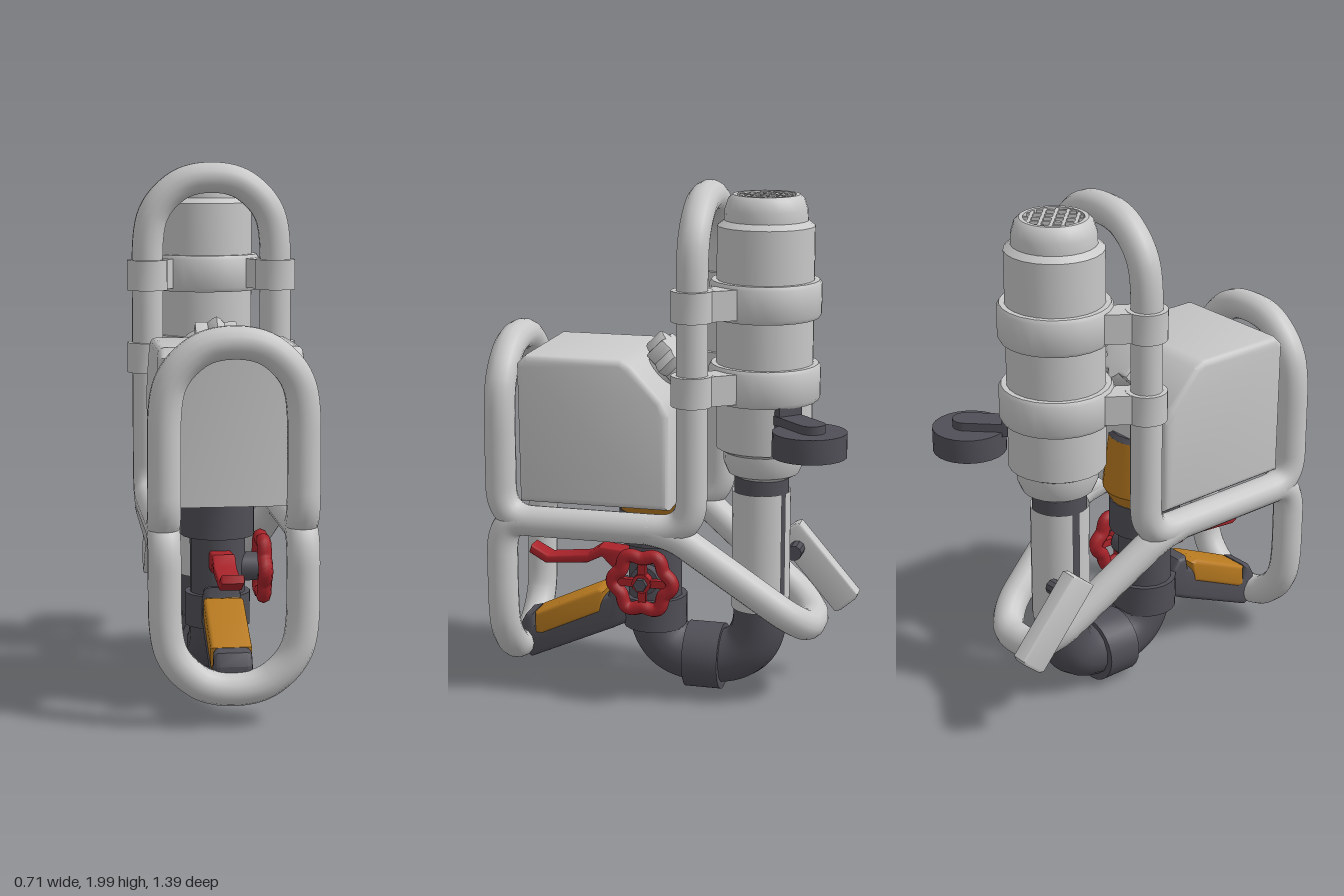
import * as THREE from 'three';
import { toCreasedNormals } from 'three/addons/utils/BufferGeometryUtils.js';

const V = (x, y, z) => new THREE.Vector3(x, y, z);

export function createModel() {
  const mat = (name, color) => {
    const m = new THREE.MeshStandardMaterial({ color, side: THREE.DoubleSide });
    m.name = name;
    return m;
  };
  const light = mat('light grey paint', 0xc8c8c8);
  const dark = mat('dark grey metal', 0x504f57);
  const orange = mat('orange paint', 0xb87a20);
  const red = mat('red paint', 0xa8232a);

  const root = new THREE.Group();
  const body = new THREE.Group();
  body.name = 'body';
  body.position.x = -0.03;
  root.add(body);

  const add = (name, geo, material, x = 0, y = 0, z = 0, parent = body) => {
    const m = new THREE.Mesh(geo, material);
    m.name = name;
    m.position.set(x, y, z);
    parent.add(m);
    return m;
  };
  const crease = (g) => toCreasedNormals(g, 0.6);
  // Profile points are [radius, y], from bottom to top
  const lathe = (pts, n = 24) => crease(new THREE.LatheGeometry(pts.map((p) => new THREE.Vector2(...p)), n));
  const cyl = (r1, r2, h, n = 20) => crease(new THREE.CylinderGeometry(r1, r2, h, n));

  // Tube along straight runs with rounded corners
  const pipe = (pts, r, round, closed = false, n = 160) => {
    const path = new THREE.CurvePath();
    const count = pts.length;
    let first = null, last = closed ? null : pts[0];
    for (let i = closed ? 0 : 1; i < (closed ? count : count - 1); i++) {
      const a = pts[(i + count - 1) % count], p = pts[i], b = pts[(i + 1) % count];
      const da = Math.min(round, a.distanceTo(p) * 0.48), db = Math.min(round, b.distanceTo(p) * 0.48);
      const s = p.clone().lerp(a, da / a.distanceTo(p)), e = p.clone().lerp(b, db / b.distanceTo(p));
      if (last) path.add(new THREE.LineCurve3(last, s));
      path.add(new THREE.QuadraticBezierCurve3(s, p, e));
      first = first || s;
      last = e;
    }
    path.add(new THREE.LineCurve3(last, closed ? first : pts[count - 1]));
    return new THREE.TubeGeometry(path, n, r, 14, closed);
  };

  // Side outline of [z, y] points, given a width along x
  const slab = (pts, width, bevel) => {
    const shape = new THREE.Shape(pts.map(([z, y]) => new THREE.Vector2(-z, y)));
    const g = new THREE.ExtrudeGeometry(shape, {
      depth: width - 2 * bevel, bevelEnabled: bevel > 0, bevelSize: bevel,
      bevelThickness: bevel, bevelOffset: -bevel, bevelSegments: 3,
    });
    g.translate(0, 0, -width / 2 + bevel);
    g.rotateY(Math.PI / 2);
    return crease(g);
  };

  // Tubular frame
  const H = 0.247, R = 0.06, zF = 0.636, zB = -0.113, yR = 0.71;
  const mirror = (pts) => pts.concat(pts.slice().reverse().map((p) => V(-p.x, p.y, p.z)));
  const arch = (y, z, s = -1) => [V(H, y + s * 0.19, z), V(0.2, y + s * 0.085, z), V(0.09, y, z)];
  const half = [...arch(1.94, zB).reverse(), V(H, yR, zB), V(H, yR, zF), ...arch(1.38, zF)];
  const other = half.slice().reverse().map((p) => V(-p.x, p.y, p.z));
  add('mainFrame', pipe([...half, ...other], R, 0.13, true, 300), light);
  add('frontFoot', pipe(mirror([V(H, yR, 0.45), V(H, yR, zF), ...arch(0.14, zF, 1)]), R, 0.13), light);
  add('rearBrace', pipe(mirror([V(H, yR, 0.06), V(H, 0.69, -0.05), V(0.15, 0.375, -0.46), V(0.08, 0.315, -0.53)]), R, 0.06), light);

  // Tank with sloped rear corner
  add('tank', slab([[0.56, 0.785], [0.565, 1.32], [0.53, 1.355], [0.16, 1.355], [0.12, 1.335],
    [0.0, 1.205], [-0.025, 1.15], [-0.025, 0.785]], 0.52, 0.025), light);

  // Scalloped filler cap
  const cap = new THREE.Group();
  cap.name = 'fillerCap';
  cap.position.set(0, 1.27, 0.065);
  cap.rotation.x = -Math.PI / 4;
  body.add(cap);
  const scallop = new THREE.Shape();
  for (let i = 0; i < 32; i++) {
    const a = (i / 32) * Math.PI * 2, r = 0.098 + 0.014 * Math.cos(8 * a);
    scallop[i ? 'lineTo' : 'moveTo'](r * Math.cos(a), r * Math.sin(a));
  }
  const capGeo = new THREE.ExtrudeGeometry(scallop, { depth: 0.07, bevelSize: 0.012, bevelThickness: 0.012, bevelOffset: -0.012, bevelSegments: 2 });
  capGeo.rotateX(-Math.PI / 2);
  add('capGrip', crease(capGeo), light, 0, 0.03, 0, cap);
  add('capNeck', cyl(0.075, 0.075, 0.08), light, 0, 0, 0, cap);

  // Rear canister
  const cz = -0.335;
  add('canister', lathe([[0, 0.88], [0.1, 0.88], [0.135, 0.9], [0.152, 0.94], [0.155, 0.985], [0.183, 1.0],
    [0.183, 1.84], [0.157, 1.86], [0.155, 1.9], [0.142, 1.94], [0.125, 1.955], [0.11, 1.955], [0.11, 1.925], [0, 1.925]]), light, 0, 0, cz);
  for (const side of [1, -1]) {
    for (let i = -2; i <= 2; i++) {
      const o = i * 0.042;
      const bar = add('grilleBar', new THREE.BoxGeometry(2 * Math.sqrt(0.0121 - o * o), 0.022, 0.012), light);
      bar.rotation.y = (side * Math.PI) / 4;
      bar.position.set(o * Math.sin(bar.rotation.y), 1.94, cz + o * Math.cos(bar.rotation.y));
    }
  }

  // Straps and clamps holding the canister to the frame
  for (const y of [1.57, 1.255]) {
    add('strap', lathe([[0.18, -0.07], [0.203, -0.07], [0.212, -0.055], [0.212, 0.055], [0.203, 0.07], [0.18, 0.07]]), light, 0, y, cz);
    for (const s of [1, -1]) {
      add('clamp', cyl(0.078, 0.078, 0.115), light, s * H, y, zB);
      const arm = add('clampArm', new THREE.BoxGeometry(0.1, 0.113, 0.2), light, s * 0.195, y, -0.19);
      arm.rotation.y = s * 0.6;
    }
  }

  // Bent pipe with its couplings
  add('bentPipe', pipe([V(0, 0.9, -0.328), V(0, 0.138, -0.328), V(0, 0.138, 0.092), V(0, 0.64, 0.092)], 0.106, 0.2), dark);
  add('pipeCoupling', cyl(0.13, 0.13, 0.14, 24).rotateX(Math.PI / 2), dark, 0, 0.138, -0.113);
  add('lowerFlange', cyl(0.125, 0.125, 0.125), dark, 0, 0.315, 0.092);
  add('upperCollar', cyl(0.14, 0.14, 0.13), dark, 0, 0.663, 0.092);
  add('funnel', lathe([[0.13, 0.72], [0.165, 0.78], [0.16, 0.83], [0.142, 1.0]]), orange, 0, 0, 0.092);
  add('funnelLid', cyl(0.13, 0.142, 0.02), dark, 0, 1.01, 0.092);

  // Heat shields around the rear pipe, with gaps between them
  const deg = Math.PI / 180;
  for (const [from, to] of [[155, 258], [272, 505]]) {
    add('heatShield', new THREE.CylinderGeometry(0.112, 0.112, 0.47, 20, 1, true, from * deg, (to - from) * deg), light, 0, 0.593, -0.328);
  }

  // Valve with hand wheel on the left side
  const wheel = new THREE.Group();
  wheel.name = 'handWheel';
  wheel.position.set(0.17, 0.47, 0.1);
  body.add(wheel);
  const rim = [];
  for (let i = 0; i < 48; i++) {
    const a = (i / 48) * Math.PI * 2, r = 0.108 + 0.011 * Math.cos(6 * a);
    rim.push(V(0, r * Math.sin(a), r * Math.cos(a)));
  }
  add('wheelRim', new THREE.TubeGeometry(new THREE.CatmullRomCurve3(rim, true), 72, 0.028, 8, true), red, 0, 0, 0, wheel);
  for (let i = 0; i < 2; i++) {
    add('wheelSpokes', new THREE.BoxGeometry(0.025, i ? 0.2 : 0.03, i ? 0.03 : 0.2), red, 0, 0, 0, wheel);
  }
  add('wheelHub', cyl(0.038, 0.038, 0.04, 12).rotateZ(Math.PI / 2), red, 0, 0, 0, wheel);
  add('wheelNut', cyl(0.026, 0.026, 0.03, 6).rotateZ(Math.PI / 2), dark, 0.025, 0, 0, wheel);
  add('valveStem', cyl(0.055, 0.055, 0.16).rotateZ(Math.PI / 2), dark, 0.07, 0.47, 0.1);

  // Red lever at the front
  add('lever', slab([[0.19, 0.55], [0.31, 0.56], [0.36, 0.525], [0.52, 0.508], [0.59, 0.545], [0.6, 0.515],
    [0.53, 0.475], [0.36, 0.49], [0.3, 0.52], [0.26, 0.48], [0.19, 0.48]], 0.085, 0.008), red);
  add('leverBolt', cyl(0.025, 0.025, 0.03, 8).rotateX(Math.PI / 2), dark, 0, 0.53, 0.265);

  // Front handle with orange grip
  add('handle', slab([[0.18, 0.36], [0.22, 0.42], [0.26, 0.425], [0.27, 0.37], [0.57, 0.225], [0.575, 0.275],
    [0.61, 0.265], [0.635, 0.22], [0.63, 0.12], [0.59, 0.085], [0.25, 0.235], [0.18, 0.27]], 0.14, 0.02), dark);
  add('handleGrip', slab([[0.28, 0.39], [0.31, 0.395], [0.57, 0.275], [0.57, 0.19], [0.54, 0.19], [0.3, 0.3]], 0.15, 0.015), orange);

  // Rear kick lever
  const kick = add('kickLever', slab([[-0.06, -0.18], [-0.06, 0.18], [-0.04, 0.19], [0.06, 0.19], [0.06, -0.18], [0.04, -0.19], [-0.04, -0.19]], 0.068, 0.008), light, -0.2, 0.475, -0.52);
  kick.rotation.x = 0.71;
  add('kickPivot', cyl(0.03, 0.03, 0.12, 10).rotateZ(Math.PI / 2), dark, -0.15, 0.55, -0.44);

  // Downward facing dial on an arm
  const dial = new THREE.Group();
  dial.name = 'dial';
  dial.position.set(0.247, 1.08, -0.555);
  body.add(dial);
  add('dialCase', lathe([[0, -0.02], [0.1, -0.02], [0.105, -0.046], [0.138, -0.046], [0.138, 0.046], [0, 0.046]]), dark, 0, 0, 0, dial);
  const needle = add('dialNeedle', new THREE.BoxGeometry(0.1, 0.008, 0.018), red, 0.03, -0.026, 0.012, dial);
  needle.rotation.y = -0.5;
  const arm = add('dialArm', new THREE.BoxGeometry(0.28, 0.035, 0.1), dark, -0.09, 0.06, 0.09, dial);
  arm.rotation.y = Math.PI / 4;
  add('dialArmEnd', cyl(0.05, 0.05, 0.035), dark, 0.009, 0.06, -0.009, dial);
  add('dialMount', new THREE.BoxGeometry(0.1, 0.08, 0.1), dark, -0.13, 0.07, 0.125, dial).rotation.y = Math.PI / 4;

  return root;
}
